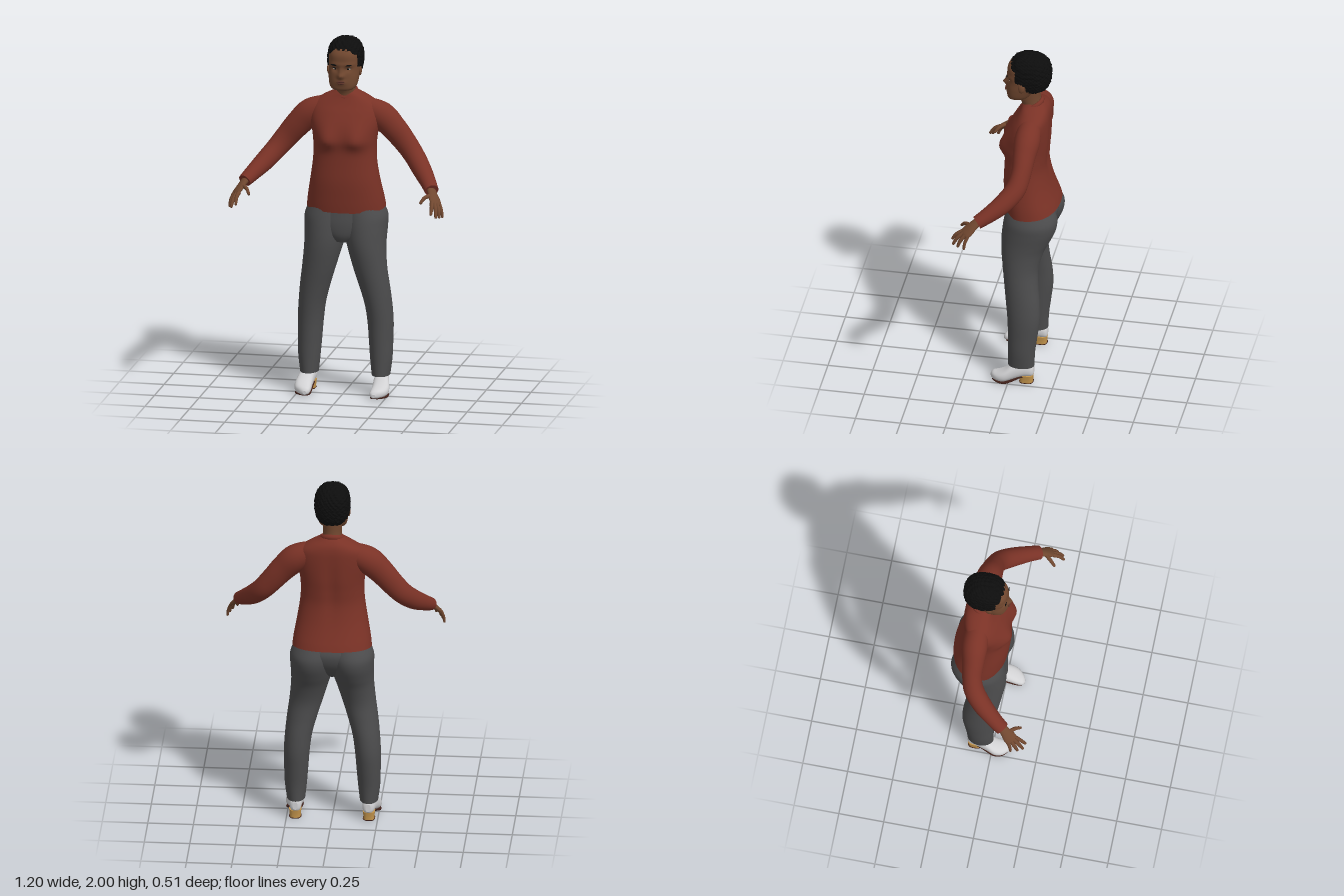
import * as THREE from 'three';

const mat = (name, color) => {
  const m = new THREE.MeshStandardMaterial({ color });
  m.name = name;
  return m;
};
const V = (x, y, z) => new THREE.Vector3(x, y, z);
const UP = V(0, 1, 0), RIGHT = V(1, 0, 0), FRONT = V(0, 0, 1);
const gauss = (d, s) => Math.exp(-(d * d) / (s * s));

// Catmull-Rom interpolation of number rows
function smooth(rows, steps) {
  const out = [], last = rows.length - 1;
  for (let i = 0; i < last; i++) {
    const [a, b, c, d] = [rows[Math.max(i - 1, 0)], rows[i], rows[i + 1], rows[Math.min(i + 2, last)]];
    for (let k = 0; k < steps; k++) {
      const t = k / steps;
      out.push(b.map((q, j) => q + 0.5 * t * (c[j] - a[j] + t * (2 * a[j] - 5 * q + 4 * c[j] - d[j] + t * (3 * (q - c[j]) + d[j] - a[j])))));
    }
  }
  out.push(rows[last]);
  return out;
}

// Closed skin through rows [x, y, z, radiusU, radiusV]; dir fixes the ring plane, else it follows the path
function loft(rows, ref, { dir, n = 28, power = 1, steps = 5, bend } = {}) {
  const rings = smooth(rows, steps), pos = [], idx = [];
  const centres = rings.map(r => V(r[0], r[1], r[2]));
  const pw = a => Math.sign(a) * Math.pow(Math.abs(a), power);
  rings.forEach((r, i) => {
    const d = dir || centres[Math.min(i + 1, rings.length - 1)].clone().sub(centres[Math.max(i - 1, 0)]).normalize();
    const u = ref.clone().addScaledVector(d, -ref.dot(d)).normalize();
    const v = u.clone().cross(d);
    for (let j = 0; j < n; j++) {
      const t = (j / n) * Math.PI * 2;
      const p = centres[i].clone().addScaledVector(u, r[3] * pw(Math.cos(t))).addScaledVector(v, r[4] * pw(Math.sin(t)));
      if (bend) bend(p);
      pos.push(p.x, p.y, p.z);
      if (i < rings.length - 1) {
        const a = i * n + j, b = i * n + (j + 1) % n;
        idx.push(a, a + n, b, b, a + n, b + n);
      }
    }
  });
  // end caps with their own vertices for crisp rims
  for (const [row, flip] of [[0, false], [rings.length - 1, true]]) {
    const base = pos.length / 3, c = centres[row].clone();
    if (bend) bend(c);
    pos.push(c.x, c.y, c.z, ...pos.slice(row * n * 3, (row + 1) * n * 3));
    for (let j = 0; j < n; j++) {
      const a = base + 1 + j, b = base + 1 + (j + 1) % n;
      idx.push(base, flip ? b : a, flip ? a : b);
    }
  }
  const g = new THREE.BufferGeometry();
  g.setAttribute('position', new THREE.Float32BufferAttribute(pos, 3));
  g.setIndex(idx);
  g.computeVertexNormals();
  return g;
}

// Upright skin from rows [y, xMin, xMax, zFront, zBack]
const upright = (rows, opts) => loft(
  rows.map(([y, x0, x1, f, b]) => [(x0 + x1) / 2, y, (f + b) / 2, (x1 - x0) / 2, (f - b) / 2]), RIGHT, { dir: UP, ...opts });
const symmetric = (rows, opts) => upright(rows.map(([y, r, f, b]) => [y, -r, r, f, b]), opts);

export function createModel() {
  const group = new THREE.Group();
  const sweater = mat('rust sweater', 0x7a3226), trousers = mat('grey trousers', 0x4c4c4d);
  const skin = mat('brown skin', 0x70472f), hair = mat('black hair', 0x0d0d0d);
  const shoe = mat('pale shoe', 0xd2d2d4), heel = mat('tan heel', 0xc4954c), sole = mat('dark sole', 0x40211a);
  const eyeWhite = mat('eye white', 0xb5a89c), lips = mat('lips', 0x5c3329);
  const add = (name, geo, m) => {
    const mesh = new THREE.Mesh(geo, m);
    mesh.name = name;
    group.add(mesh);
    return mesh;
  };
  const blob = (name, m, x, y, z, rx, ry, rz) => {
    const mesh = add(name, new THREE.SphereGeometry(1, 16, 12), m);
    mesh.position.set(x, y, z);
    mesh.scale.set(rx, ry, rz);
    return mesh;
  };

  // Sweater body with bust, spine groove and sloping hem
  add('sweaterBody', symmetric([
    [1.045, 0.218, 0.05, -0.25], [1.1, 0.211, 0.056, -0.235], [1.2, 0.193, 0.062, -0.202],
    [1.3, 0.178, 0.058, -0.182], [1.38, 0.174, 0.055, -0.184], [1.45, 0.179, 0.055, -0.19],
    [1.52, 0.192, 0.042, -0.192], [1.58, 0.195, 0.015, -0.192], [1.625, 0.178, -0.012, -0.19],
    [1.66, 0.13, -0.03, -0.182], [1.685, 0.08, -0.04, -0.166], [1.7, 0.058, -0.05, -0.15],
  ], {
    n: 56, power: 0.9, bend: p => {
      if (p.z > -0.04) p.z += 0.034 * (gauss(p.x - 0.085, 0.06) + gauss(p.x + 0.085, 0.06)) * gauss(p.y - 1.435, p.y < 1.435 ? 0.045 : 0.075);
      if (p.z < -0.13) p.z += 0.012 * gauss(p.x, 0.035) * gauss(p.y - 1.42, 0.17);
      if (p.y < 1.12) p.y -= (p.z + 0.1) * 0.1 * (1.12 - p.y) / 0.075;
    },
  }), sweater);
  const collar = add('collar', new THREE.TorusGeometry(0.059, 0.009, 10, 40), sweater);
  collar.position.set(0, 1.683, -0.093);
  collar.rotation.x = Math.PI / 2 + 0.45;
  collar.scale.z = 1.5;

  // Neck
  add('neck', symmetric([
    [1.62, 0.058, -0.035, -0.15], [1.68, 0.052, -0.035, -0.145], [1.73, 0.052, -0.015, -0.138], [1.8, 0.055, 0, -0.14],
  ]), skin);

  // Head with sculpted face
  const headGeo = symmetric([
    [1.716, 0.03, 0.025, -0.02], [1.724, 0.056, 0.041, -0.045], [1.745, 0.075, 0.047, -0.085], [1.79, 0.083, 0.047, -0.12],
    [1.83, 0.085, 0.045, -0.16], [1.87, 0.086, 0.045, -0.175], [1.92, 0.083, 0.042, -0.175], [1.96, 0.06, 0.01, -0.14], [1.975, 0.02, -0.03, -0.09],
  ], {
    n: 72, power: 0.82, steps: 8, bend: p => {
      if (p.z < 0) return;
      const ax = Math.abs(p.x);
      p.z += 0.022 * gauss(ax, 0.017) * gauss(p.y - 1.803, 0.015)
        + 0.013 * gauss(ax, 0.011) * gauss(p.y - 1.828, 0.024)
        - 0.011 * gauss(ax - 0.036, 0.02) * gauss(p.y - 1.84, 0.014)
        + 0.004 * gauss(p.y - 1.867, 0.012)
        + 0.008 * gauss(ax, 0.03) * gauss(p.y - 1.768, 0.016);
    },
  });
  add('head', headGeo, skin);
  const faceZ = (x, y) => {
    const a = headGeo.attributes.position;
    let best = 1, z = 0;
    for (let i = 0; i < a.count; i++) {
      const d = Math.hypot(a.getX(i) - x, a.getY(i) - y);
      if (a.getZ(i) > 0 && d < best) [best, z] = [d, a.getZ(i)];
    }
    return z;
  };
  blob('upperLip', lips, 0, 1.773, faceZ(0, 1.773), 0.024, 0.005, 0.004);
  blob('lowerLip', lips, 0, 1.764, faceZ(0, 1.764), 0.021, 0.006, 0.005);

  // Cropped curly hair: faceted shell, tucked under the scalp below the hairline
  const hairGeo = new THREE.IcosahedronGeometry(1, 20), hp = hairGeo.attributes.position;
  const hairPoint = V(0, 0, 0);
  for (let i = 0; i < hp.count; i++) {
    const q = hairPoint.fromBufferAttribute(hp, i).normalize();
    const box = Math.pow(Math.abs(q.x) ** 2.4 + Math.abs(q.y) ** 2.4 + Math.abs(q.z) ** 2.4, -1 / 2.4);
    const curl = 1 + 0.022 * Math.sin(q.x * 23 + 5 * q.y) * Math.sin(q.y * 27 + 3 * q.z) + 0.018 * Math.sin(q.z * 31 + q.x * 17) * Math.sin(q.y * 41 - q.x * 13);
    q.multiplyScalar(box * curl);
    q.set(q.x * 0.098, 1.88 + q.y * 0.117, -0.08 + q.z * 0.118);
    const line = q.z > -0.005 ? 1.915 + 0.2 * q.z : q.z > -0.035 ? 1.845 : q.z > -0.065 ? 1.835 : 1.7;
    if (q.y < line) q.set(q.x * 0.72, 1.85 + (q.y - 1.85) * 0.7, -0.08 + (q.z + 0.08) * 0.7);
    hp.setXYZ(i, q.x, q.y, q.z);
  }
  hairGeo.computeVertexNormals();
  add('hair', hairGeo, hair);

  // Trouser seat joining the legs
  add('trouserSeat', symmetric([
    [0.86, 0.06, 0.025, -0.13], [0.9, 0.14, 0.042, -0.18], [0.96, 0.2, 0.045, -0.222], [1.02, 0.212, 0.038, -0.236], [1.07, 0.2, 0.03, -0.22],
  ], { n: 40 }), trousers);

  for (const s of [1, -1]) {
    const side = s > 0 ? 'left' : 'right';
    const flip = rows => rows.map(([x, ...r]) => [x * s, ...r]);

    // Eyes, brows and ears
    const ez = faceZ(0.036, 1.84);
    blob(side + 'Eye', eyeWhite, s * 0.036, 1.841, ez - 0.002, 0.014, 0.0055, 0.005);
    blob(side + 'Iris', hair, s * 0.036, 1.841, ez + 0.001, 0.0055, 0.0055, 0.003);
    blob(side + 'UpperLid', hair, s * 0.036, 1.847, ez, 0.016, 0.0022, 0.004);
    blob(side + 'Brow', hair, s * 0.038, 1.864, faceZ(0.038, 1.864) - 0.001, 0.021, 0.0045, 0.004).rotation.z = s * 0.12;
    blob(side + 'Ear', skin, s * 0.088, 1.82, -0.045, 0.009, 0.028, 0.017);

    // Sleeve
    add(side + 'Sleeve', loft(flip([
      [0.1, 1.6, -0.1, 0.06, 0.06], [0.195, 1.558, -0.1, 0.077, 0.071], [0.265, 1.493, -0.095, 0.071, 0.062],
      [0.33, 1.417, -0.09, 0.064, 0.054], [0.385, 1.35, -0.068, 0.059, 0.055], [0.44, 1.288, -0.01, 0.054, 0.052],
      [0.49, 1.238, 0.062, 0.044, 0.044], [0.523, 1.205, 0.118, 0.036, 0.039],
    ]), UP), sweater);

    // Hand and fingers
    const across = V(-0.04 * s, 0.015, 0.04);
    add(side + 'Palm', loft(flip([
      [0.51, 1.22, 0.1, 0.025, 0.02], [0.532, 1.19, 0.135, 0.029, 0.017], [0.548, 1.165, 0.16, 0.036, 0.015],
      [0.561, 1.146, 0.178, 0.034, 0.012], [0.565, 1.14, 0.184, 0.024, 0.006],
    ]), across, { n: 20 }), skin);
    const fingers = {
      Index: [[0.54, 1.155, 0.192], [0.546, 1.135, 0.225], [0.546, 1.102, 0.249]],
      Middle: [[0.553, 1.15, 0.186], [0.566, 1.122, 0.218], [0.572, 1.085, 0.24]],
      Ring: [[0.566, 1.145, 0.175], [0.58, 1.113, 0.199], [0.585, 1.079, 0.212]],
      Pinky: [[0.576, 1.14, 0.16], [0.59, 1.105, 0.173], [0.595, 1.072, 0.176]],
      Thumb: [[0.525, 1.185, 0.155], [0.498, 1.178, 0.186], [0.48, 1.153, 0.21]],
    };
    for (const [name, path] of Object.entries(fingers)) {
      const k = name === 'Pinky' ? 0.85 : 1;
      const rows = path.map((p, i) => [...p, [0.012, 0.0105, 0.0075][i] * k, [0.012, 0.0105, 0.0075][i] * k]);
      const [a, b] = [path[1], path[2]];
      rows.push([...b.map((q, j) => q + (q - a[j]) * 0.1), 0.002, 0.002]);
      add(side + name, loft(flip(rows), across, { n: 10, steps: 4 }), skin);
    }

    // Trouser leg
    add(side + 'TrouserLeg', upright([
      [0.105, 0.15, 0.25, 0.005, -0.14], [0.2, 0.14, 0.262, 0.005, -0.145], [0.3, 0.132, 0.265, 0.006, -0.158],
      [0.4, 0.124, 0.266, 0.01, -0.169], [0.5, 0.11, 0.26, 0.02, -0.166], [0.6, 0.083, 0.25, 0.032, -0.155],
      [0.7, 0.052, 0.237, 0.045, -0.152], [0.8, 0.022, 0.228, 0.056, -0.178], [0.87, 0.002, 0.227, 0.058, -0.212],
      [0.94, -0.012, 0.23, 0.053, -0.242], [1.0, -0.02, 0.229, 0.044, -0.248], [1.06, -0.02, 0.205, 0.03, -0.225],
    ].map(([y, a, b, f, z]) => s > 0 ? [y, a, b, f, z] : [y, -b, -a, f, z]), { n: 36 }), trousers);

    // Shoe, sole and heel; rows are [z, x, halfWidth, bottom, top]
    const along = (rows, power) => loft(rows.map(([z, x, r, b, t]) => [x * s, (b + t) / 2, z, r, (t - b) / 2]), RIGHT, { dir: FRONT, n: 24, power, steps: 4 });
    add(side + 'Shoe', along([
      [-0.138, 0.2, 0.014, 0.055, 0.1], [-0.125, 0.2, 0.031, 0.042, 0.12], [-0.08, 0.204, 0.038, 0.038, 0.13],
      [-0.03, 0.21, 0.043, 0.022, 0.118], [0.02, 0.216, 0.048, 0.006, 0.08], [0.06, 0.21, 0.044, 0.004, 0.058],
      [0.09, 0.198, 0.029, 0.005, 0.046], [0.103, 0.193, 0.01, 0.012, 0.03],
    ], 0.85), shoe);
    add(side + 'Sole', along([
      [-0.125, 0.2, 0.026, 0.036, 0.05], [-0.07, 0.204, 0.033, 0.034, 0.048], [-0.03, 0.21, 0.038, 0.015, 0.03],
      [0.015, 0.216, 0.045, 0.0, 0.014], [0.06, 0.21, 0.042, 0.0, 0.012], [0.09, 0.198, 0.025, 0.002, 0.012],
    ], 0.6), sole);
    const block = upright([[0.005, -0.03, 0.03, 0.038, -0.036], [0.025, -0.031, 0.031, 0.038, -0.037], [0.05, -0.034, 0.034, 0.04, -0.04]], { n: 24, power: 0.7 });
    add(side + 'Heel', block, heel).position.set(s * 0.202, 0, -0.097);
    const lift = add(side + 'HeelLift', block, sole);
    lift.scale.set(1, 0.11, 1);
    lift.position.set(s * 0.202, -0.0005, -0.097);
  }
  return group;
}
